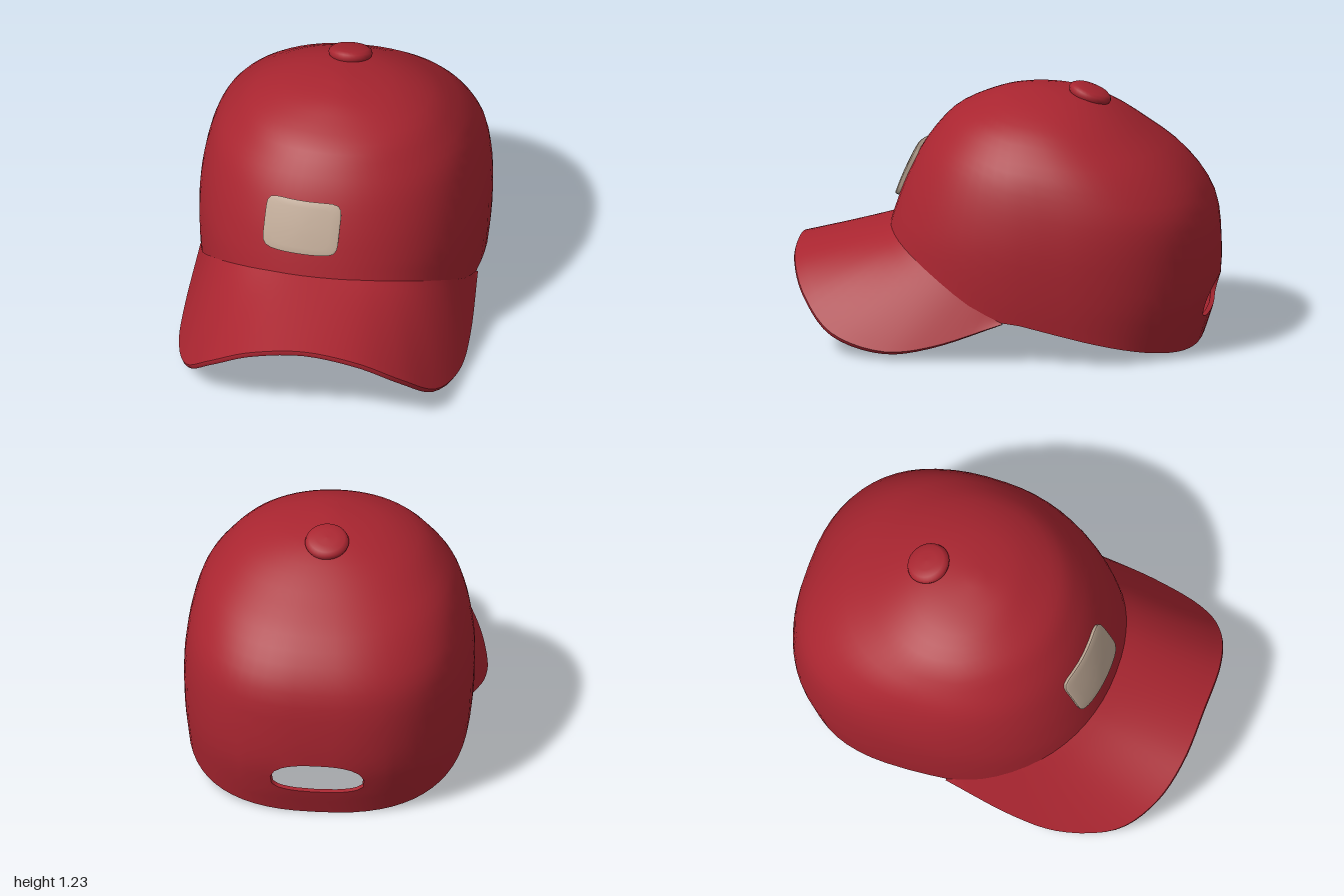
import * as THREE from 'three';
import { mergeVertices } from 'three/addons/utils/BufferGeometryUtils.js';

const V = (x, y, z) => new THREE.Vector3(x, y, z);
const mat = (name, color) => Object.assign(new THREE.MeshStandardMaterial({ color, side: THREE.DoubleSide }), { name });
const spow = (v, e) => Math.sign(v) * Math.abs(v) ** e;
const { lerp, clamp } = THREE.MathUtils;

// Crown levels from apex to bottom: height, half width, front z, back z
const LEVELS = [
  [1.21, 0, -0.14, -0.14], [1.195, 0.13, 0.0, -0.28], [1.16, 0.285, 0.11, -0.42],
  [1.09, 0.43, 0.255, -0.55], [1.0, 0.525, 0.345, -0.68], [0.9, 0.6, 0.415, -0.81],
  [0.78, 0.645, 0.475, -0.915], [0.65, 0.672, 0.525, -0.98], [0.5, 0.685, 0.57, -1.0],
  [0.3, 0.68, 0.6, -1.0], [0.15, 0.665, 0.61, -0.968], [0, 0.65, 0.61, -0.92],
];
const frontCurve = new THREE.CatmullRomCurve3(LEVELS.map(l => V(l[0], l[1], l[2])), false, 'catmullrom');
const backCurve = new THREE.CatmullRomCurve3(LEVELS.map(l => V(l[0], l[1], l[3])), false, 'catmullrom');

// Height of the lower crown edge for a given z
const RIM = [[-0.92, 0.005], [-0.3, 0.16], [-0.15, 0.195], [-0.05, 0.205], [0.12, 0.285],
  [0.28, 0.39], [0.43, 0.48], [0.53, 0.535], [0.57, 0.55]];
function rimHeight(z) {
  if (z <= RIM[0][0]) return RIM[0][1];
  for (let i = 1; i < RIM.length; i++) {
    const [z0, y0] = RIM[i - 1], [z1, y1] = RIM[i];
    if (z <= z1) return lerp(y0, y1, (z - z0) / (z1 - z0));
  }
  return 0.55;
}

// Horizontal section of the crown: two half superellipses
function section(t) {
  const f = frontCurve.getPoint(t), b = backCurve.getPoint(t);
  const k = clamp((f.x - 0.7) / 0.51, 0, 1);
  return { y: f.x, w: f.y, zf: f.z, zb: b.z, zc: -0.25 + 0.11 * k, nf: 2.2 - 0.2 * k, nb: 2.5 - 0.5 * k };
}
function levelAt(y) {
  let a = 0, b = 1;
  for (let i = 0; i < 32; i++) {
    const m = (a + b) / 2;
    if (frontCurve.getPoint(m).x > y) a = m; else b = m;
  }
  return (a + b) / 2;
}
function crownPoint(theta, t) {
  const s = section(t), c = Math.cos(theta), n = c > 0 ? s.nf : s.nb;
  const depth = c > 0 ? s.zf - s.zc : s.zc - s.zb;
  return V(s.w * spow(Math.sin(theta), 2 / n), s.y, s.zc + depth * spow(c, 2 / n));
}
function projected(x, y, front) {
  const s = section(levelAt(y)), n = front ? s.nf : s.nb;
  const k = Math.max(0, 1 - Math.abs(x / s.w) ** n) ** (1 / n);
  return V(x, y, s.zc + k * ((front ? s.zf : s.zb) - s.zc));
}
function rimLevel(theta) {
  let t = 0.8;
  for (let i = 0; i < 12; i++) t = levelAt(rimHeight(crownPoint(theta, t).z));
  return t;
}
const CENTRE = V(0, 0.35, -0.2);
const offset = (p, d) => p.clone().addScaledVector(p.clone().sub(CENTRE).normalize(), d);

// Quads between consecutive rows of points
function strips(rows) {
  const q = [];
  for (let j = 0; j + 1 < rows.length; j++)
    for (let i = 0; i + 1 < rows[j].length; i++)
      q.push([rows[j][i], rows[j + 1][i], rows[j + 1][i + 1], rows[j][i + 1]]);
  return q;
}
const reversed = quads => quads.map(q => [...q].reverse());
const inset = quads => quads.map(q => q.map(p => offset(p, -0.022)));
function surface(name, quads, material) {
  const pos = [];
  for (const [a, b, c, d] of quads) for (const p of [a, b, c, a, c, d]) pos.push(p.x, p.y, p.z);
  let g = new THREE.BufferGeometry();
  g.setAttribute('position', new THREE.Float32BufferAttribute(pos, 3));
  g = mergeVertices(g, 1e-4);
  g.computeVertexNormals();
  const mesh = new THREE.Mesh(g, material);
  mesh.name = name;
  return mesh;
}

export function createModel() {
  const red = mat('red cloth', 0xa92530);
  const grey = mat('grey lining', 0x6e6964);
  const beige = mat('beige patch', 0xbfa996);
  const cap = new THREE.Group();
  cap.name = 'cap';

  // Crown grid, leaving out a block of cells at the back
  const NT = 64, NS = 24, I0 = 27, I1 = 37, J0 = 17, J1 = 23;
  const rimT = [], grid = [];
  for (let i = 0; i <= NT; i++) rimT.push(rimLevel((i % NT) / NT * Math.PI * 2));
  for (let j = 0; j <= NS; j++)
    grid.push(rimT.map((t, i) => crownPoint((i % NT) / NT * Math.PI * 2, t * j / NS)));
  const shell = strips(grid).filter((q, k) => {
    const i = k % NT, j = Math.floor(k / NT);
    return !(i >= I0 && i < I1 && j >= J0 && j < J1);
  });

  // Rings leading from that block to the rounded back opening
  const border = [];
  for (let i = I0; i < I1; i++) border.push(grid[J0][i]);
  for (let j = J0; j < J1; j++) border.push(grid[j][I1]);
  for (let i = I1; i > I0; i--) border.push(grid[J1][i]);
  for (let j = J1; j > J0; j--) border.push(grid[j][I0]);
  border.push(border[0]);
  const rings = [border];
  for (let r = 1; r <= 4; r++) rings.push(border.map(p => {
    const a = Math.atan2((p.y - 0.2) / 0.1, (p.x + 0.01) / 0.225), up = Math.sin(a) > 0;
    const hx = -0.01 + 0.225 * spow(Math.cos(a), 0.8);
    const hy = 0.2 + (up ? 0.1 : 0.062) * spow(Math.sin(a), up ? 0.9 : 0.6);
    return projected(lerp(p.x, hx, r / 4), lerp(p.y, hy, r / 4), false);
  }));
  shell.push(...strips(rings));
  const edgeBand = row => strips([row, row.map(p => offset(p, -0.022))]);
  cap.add(
    surface('crownOuter', shell, red),
    surface('crownInner', reversed(inset(shell)), red),
    surface('crownRim', edgeBand(grid[NS]), red),
    surface('backOpeningEdge', edgeBand(rings[4]), red),
  );

  // Bill: stretched from the crown edge to a curved outer edge
  const half = [[0, 0.435, 1], [0.26, 0.39, 0.99], [0.46, 0.265, 0.92], [0.6, 0.115, 0.77],
    [0.675, 0.05, 0.52], [0.687, 0.085, 0.27], [0.667, 0.2, -0.06]];
  const outer = new THREE.CatmullRomCurve3([
    ...half.slice(1).reverse().map(([x, y, z]) => V(-x, y, z)), ...half.map(p => V(...p)),
  ], false, 'catmullrom');
  const top = [], bottom = [], SB = 56, VB = 10;
  for (let v = 0; v <= VB; v++) {
    top.push([]);
    bottom.push([]);
    for (let k = 0; k <= SB; k++) {
      const s = k / SB * 2 - 1, theta = s * 1.375;
      const join = offset(crownPoint(theta, rimLevel(theta)), -0.004);
      const edge = outer.getPoint(k / SB);
      const under = edge.clone().add(V(-Math.sin(s * 1.25), -Math.cos(s * 1.25), 0).multiplyScalar(0.025));
      const lining = offset(join, -0.022);
      lining.y -= 0.014;
      top[v].push(join.lerp(edge, v / VB));
      bottom[v].push(lining.lerp(under, v / VB));
    }
  }
  const bulge = top[VB].map((p, k) => {
    const m = p.clone().lerp(bottom[VB][k], 0.5);
    return m.add(V(m.x, 0, m.z).normalize().multiplyScalar(0.004));
  });
  cap.add(
    surface('billTop', strips(top), red),
    surface('billLining', reversed(strips(bottom)), grey),
    surface('billEdge', strips([top[VB], bulge, bottom[VB]]), red),
  );

  // Front patch: a rounded plate following the crown
  const patchRing = (r, lift) => Array.from({ length: 49 }, (_, k) => {
    const a = -(k % 48) / 48 * Math.PI * 2;
    const c = Math.cos(a), s = Math.sin(a);
    const f = r / (Math.abs(c) ** 7 + Math.abs(s) ** 7) ** (1 / 7);
    const dx = 0.18 * c * f, dy = 0.117 * s * f;
    return offset(projected(-0.09 + dx + 0.05 * dy, 0.768 + dy + 0.02 * dx, true), lift);
  });
  const face = [1, 0.95, 0.75, 0.5, 0.25, 0].map((r, i) => patchRing(r, i ? 0.022 : 0.018));
  cap.add(
    surface('patchFace', strips(face), beige),
    surface('patchEdge', strips([patchRing(1, -0.008), face[0]]), beige),
  );

  // Button on top
  const profile = [[0, -0.03], [0.085, -0.03], [0.1, -0.008], [0.105, 0.006], [0.1, 0.02], [0.085, 0.031],
    [0.05, 0.037], [0, 0.039]].map(([x, y]) => new THREE.Vector2(x, y));
  const button = new THREE.Mesh(new THREE.LatheGeometry(profile, 32), red);
  button.name = 'topButton';
  button.position.set(0, 1.172, -0.385);
  button.rotation.x = -0.36;
  cap.add(button);

  return cap;
}
